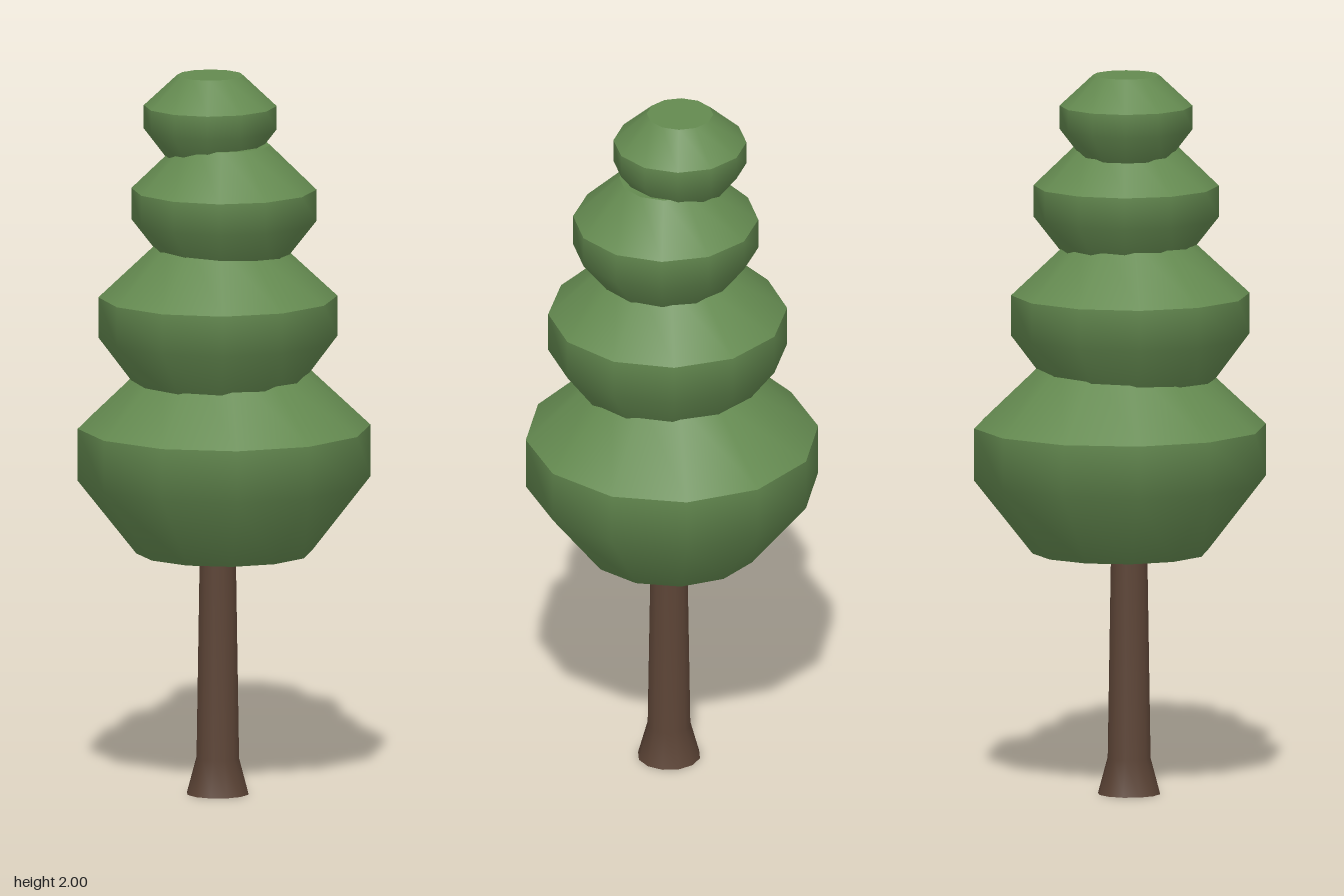
import * as THREE from 'three';
import { mergeGeometries } from 'three/addons/utils/BufferGeometryUtils.js';

const SIDES = 12;

// Lathe strip through [radius, height] pairs listed from bottom to top
function strip(points, phase) {
  return new THREE.LatheGeometry(points.map(([r, y]) => new THREE.Vector2(r, y)), SIDES, phase);
}

// One foliage tier: smooth lower bowl, creased upper cone and flat caps
function tierGeometry({ r, bottom, lower, upper, top, turn }) {
  const phase = THREE.MathUtils.degToRad(turn);
  const rBottom = r * 0.6, rTop = r * 0.5;
  return mergeGeometries([
    strip([[0, bottom], [rBottom, bottom]], phase),
    strip([[rBottom, bottom], [r, lower], [r, upper]], phase),
    strip([[r, upper], [rTop, top]], phase),
    strip([[rTop, top], [0, top]], phase),
  ]);
}

export function createModel() {
  const leafGreen = new THREE.MeshStandardMaterial({ color: 0x648a50 });
  const barkBrown = new THREE.MeshStandardMaterial({ color: 0x5c4436, side: THREE.DoubleSide });
  leafGreen.name = 'leafGreen';
  barkBrown.name = 'barkBrown';

  const tree = new THREE.Group();
  tree.name = 'tree';

  // Trunk with a flared, open foot
  const trunk = new THREE.Mesh(strip([[0.087, 0], [0.06, 0.1], [0.05, 0.72]], 0), barkBrown);
  trunk.name = 'trunk';
  trunk.position.set(-0.022, 0, 0.013);
  tree.add(trunk);

  // Foliage tiers, each slightly offset and turned
  const tiers = [
    { name: 'foliageBottom', x: 0, z: 0, r: 0.404, bottom: 0.67, lower: 0.875, upper: 1.02, top: 1.21, turn: -12.3 },
    { name: 'foliageLowerMiddle', x: -0.023, z: 0.017, r: 0.329, bottom: 1.1, lower: 1.275, upper: 1.387, top: 1.54, turn: 15 },
    { name: 'foliageUpperMiddle', x: -0.006, z: 0.019, r: 0.255, bottom: 1.47, lower: 1.6, upper: 1.687, top: 1.81, turn: -20.5 },
    { name: 'foliageTop', x: -0.035, z: -0.015, r: 0.183, bottom: 1.755, lower: 1.85, upper: 1.915, top: 2, turn: -20 },
  ];
  for (const tier of tiers) {
    const mesh = new THREE.Mesh(tierGeometry(tier), leafGreen);
    mesh.name = tier.name;
    mesh.position.set(tier.x, 0, tier.z);
    tree.add(mesh);
  }
  return tree;
}
